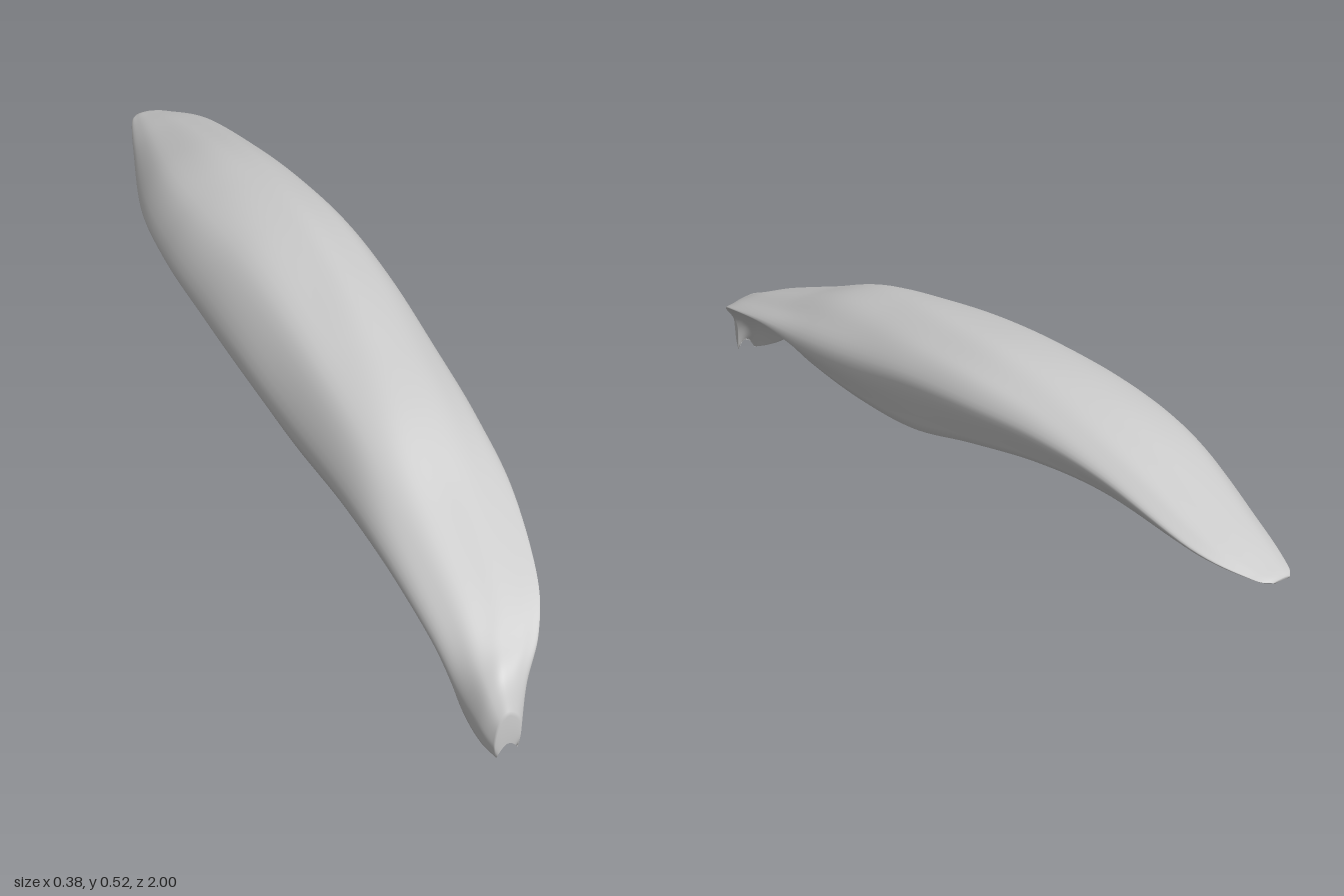
import * as THREE from 'three';

// Cross-sections along the length:
// z, left bulge x, y, left rim y, crest x, y, right bulge x, y, right rim y
const STATIONS = [
  [-1, 0.015, 0.334, 0.331, 0.035, 0.338, 0.06, 0.335, 0.332],
  [-0.97, -0.008, 0.336, 0.331, 0.04, 0.35, 0.09, 0.341, 0.336],
  [-0.85, -0.058, 0.345, 0.33, 0.05, 0.393, 0.14, 0.372, 0.355],
  [-0.6, -0.15, 0.355, 0.325, 0.035, 0.47, 0.155, 0.425, 0.38],
  [-0.4, -0.183, 0.355, 0.31, 0.035, 0.505, 0.17, 0.445, 0.37],
  [-0.2, -0.19, 0.345, 0.29, 0.035, 0.515, 0.186, 0.44, 0.335],
  [0, -0.19, 0.33, 0.265, 0.025, 0.5, 0.187, 0.415, 0.285],
  [0.2, -0.18, 0.3, 0.236, 0.005, 0.47, 0.181, 0.37, 0.27],
  [0.4, -0.17, 0.28, 0.224, -0.01, 0.422, 0.168, 0.335, 0.275],
  [0.6, -0.166, 0.25, 0.198, -0.02, 0.335, 0.138, 0.305, 0.285],
  [0.8, -0.16, 0.185, 0.143, -0.035, 0.252, 0.083, 0.244, 0.232],
  [0.9, -0.15, 0.115, 0.055, -0.065, 0.203, 0.03, 0.192, 0.172],
  [0.96, -0.138, 0.075, 0.018, -0.085, 0.168, -0.03, 0.14, 0.095],
  [1, -0.12, 0.035, 0.001, -0.092, 0.105, -0.062, 0.055, 0.01],
];
const RINGS = 110;
const ARC = 40;
const RING_SIZE = 2 * ARC;

// Lengthwise rails: rim, bulge, shoulder, crest, shoulder, bulge, rim
function makeRails() {
  const mix = THREE.MathUtils.lerp;
  const pick = [
    ([z, lx, , ly, cx]) => [mix(lx, cx, 0.12), ly, z],
    ([z, lx, by]) => [lx, by, z],
    ([z, lx, by, , cx, cy]) => [mix(lx, cx, 0.35), mix(by, cy, 0.74), z],
    ([z, , , , cx, cy]) => [cx, cy, z],
    ([z, , , , cx, cy, rx, by]) => [mix(rx, cx, 0.35), mix(by, cy, 0.7), z],
    ([z, , , , , , rx, by]) => [rx, by, z],
    ([z, , , , cx, , rx, , ry]) => [mix(rx, cx, 0.18), ry, z],
  ];
  return pick.map((f) => new THREE.CatmullRomCurve3(
    STATIONS.map((s) => new THREE.Vector3(...f(s))), false, 'catmullrom', 0.5));
}

// One closed ring: the arched back, then the shallow hollow underside
function makeRing(rails, u) {
  const controls = rails.map((r) => r.getPoint(u));
  const arch = new THREE.CatmullRomCurve3(controls, false, 'centripetal');
  const ring = [];
  for (let j = 0; j <= ARC; j++) {
    const t = j / ARC;
    const p = arch.getPoint(t);
    // faint ridges running lengthwise
    const fade = Math.sin(Math.PI * t) * Math.sin(Math.PI * u);
    p.y += 0.0025 * fade * Math.sin(t * 34 + u * 5) * Math.sin(u * 13 + t * 4);
    ring.push(p);
  }
  const left = controls[0];
  const right = controls[6];
  const rise = controls[3].y - (left.y + right.y) / 2;
  const hollow = rise * (0.22 + 0.13 * Math.exp(-(((left.z - 0.72) / 0.2) ** 2)));
  for (let j = 1; j < ARC; j++) {
    const s = j / ARC;
    const p = right.clone().lerp(left, s);
    p.y += hollow * Math.sin(Math.PI * s);
    ring.push(p);
  }
  return ring;
}

function makeBodyGeometry() {
  const rails = makeRails();
  const n = RING_SIZE;
  const positions = [];
  const index = [];
  for (let i = 0; i <= RINGS; i++) {
    for (const p of makeRing(rails, i / RINGS)) positions.push(p.x, p.y, p.z);
  }
  for (let i = 0; i < RINGS; i++) {
    for (let j = 0; j < n; j++) {
      const a = i * n + j;
      const b = i * n + ((j + 1) % n);
      index.push(a, a + n, b, b, a + n, b + n);
    }
  }
  // close both ends between back and underside
  const last = RINGS * n;
  for (let j = 0; j < ARC; j++) {
    const k = (n - j) % n;
    const m = n - j - 1;
    index.push(j, j + 1, k, j + 1, m, k);
    index.push(last + j, last + k, last + j + 1, last + j + 1, last + k, last + m);
  }
  const geometry = new THREE.BufferGeometry();
  geometry.setAttribute('position', new THREE.Float32BufferAttribute(positions, 3));
  geometry.setIndex(index);
  geometry.computeVertexNormals();
  return geometry;
}

export function createModel() {
  const group = new THREE.Group();
  group.name = 'curvedShell';
  const material = new THREE.MeshStandardMaterial({ color: 0xcccccc });
  const body = new THREE.Mesh(makeBodyGeometry(), material);
  body.name = 'hookedBody';
  group.add(body);
  return group;
}
